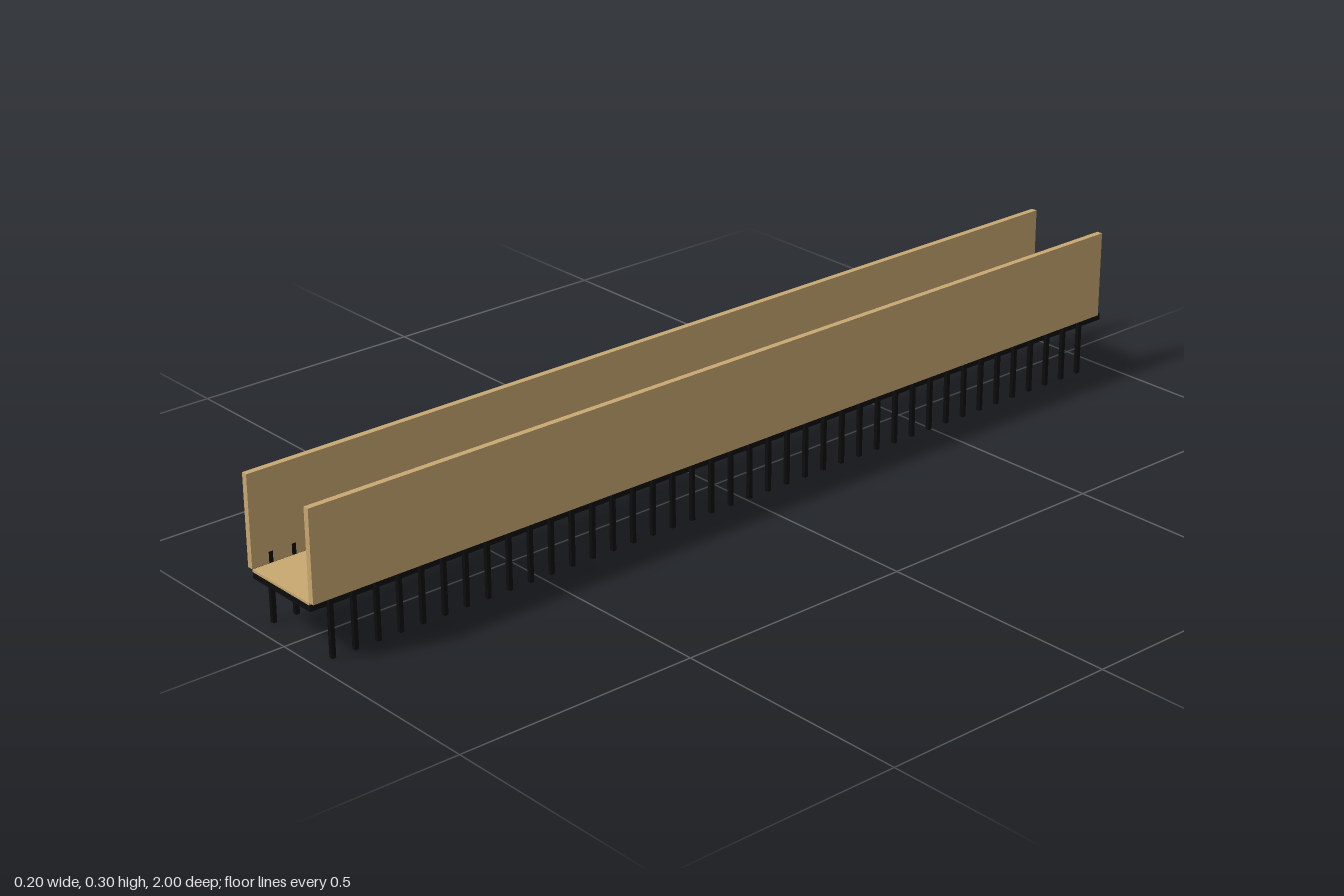
import * as THREE from 'three';

const mat = (color) => new THREE.MeshStandardMaterial({ color });

export function createModel() {
  const model = new THREE.Group();
  const wood = mat(0xc8a870), black = mat(0x0c0c0c), slate = mat(0x5f7878);
  const green = mat(0xa8c880), red = mat(0xe02010), grey = mat(0x333333);

  // Box given by its lowest and highest corners
  function box(name, material, a, b, parent = model) {
    const mesh = new THREE.Mesh(
      new THREE.BoxGeometry(b[0] - a[0], b[1] - a[1], b[2] - a[2]), material);
    mesh.position.set((a[0] + b[0]) / 2, (a[1] + b[1]) / 2, (a[2] + b[2]) / 2);
    mesh.name = name;
    parent.add(mesh);
    return mesh;
  }

  // Floor and the panel below it
  box('floor', wood, [-0.085, 0.113, -0.987], [0.085, 0.118, 1]);
  box('underPanel', slate, [-0.074, 0.107, -0.988], [0.074, 0.1128, 0.988]);

  // Frame end bars
  box('backBar', black, [-0.086, 0.1, -1], [0.086, 0.113, -0.987]);
  box('frontBar', black, [-0.086, 0.1, 0.986], [0.086, 0.113, 0.999]);

  // Walls, side rails and rows of legs, mirrored
  const legCount = 40;
  for (const s of [-1, 1]) {
    const side = s > 0 ? 'left' : 'right';
    const span = (p, q) => [Math.min(s * p, s * q), Math.max(s * p, s * q)];
    const [w0, w1] = span(0.0855, 0.098);
    box(side + 'Wall', wood, [w0, 0.118, -0.98], [w1, 0.3, 1]);
    const [r0, r1] = span(0.073, 0.086);
    box(side + 'Rail', black, [r0, 0.1, -0.987], [r1, 0.1129, 0.986]);

    const legs = new THREE.Group();
    legs.name = side + 'Legs';
    model.add(legs);
    const [l0, l1] = span(0.085, 0.0935);
    for (let i = 0; i < legCount; i++) {
      const z = 0.96 - i * 0.0485;
      box('leg', black, [l0, 0, z - 0.0042], [l1, 0.14, z + 0.0042], legs);
    }
  }

  // Upright panel crossing the floor near the back
  box('uprightPanel', green, [-0.058, 0.087, -0.743], [0.058, 0.16, -0.738]);

  // Small red unit with feelers
  const unit = new THREE.Group();
  unit.name = 'redUnit';
  model.add(unit);
  box('unitBody', red, [-0.014, 0.118, -0.75], [0.014, 0.134, -0.73], unit);
  box('unitNose', grey, [-0.0025, 0.122, -0.73], [0.0025, 0.127, -0.728], unit);
  for (const s of [-1, 1]) {
    box('unitFoot', grey, [s * 0.013 - 0.002, 0.118, -0.734], [s * 0.013 + 0.002, 0.126, -0.728], unit);
    const path = new THREE.LineCurve3(
      new THREE.Vector3(s * 0.012, 0.127, -0.732), new THREE.Vector3(s * 0.027, 0.134, -0.72));
    const feeler = new THREE.Mesh(new THREE.TubeGeometry(path, 1, 0.0007, 6), grey);
    feeler.name = 'feeler';
    unit.add(feeler);
  }
  return model;
}
